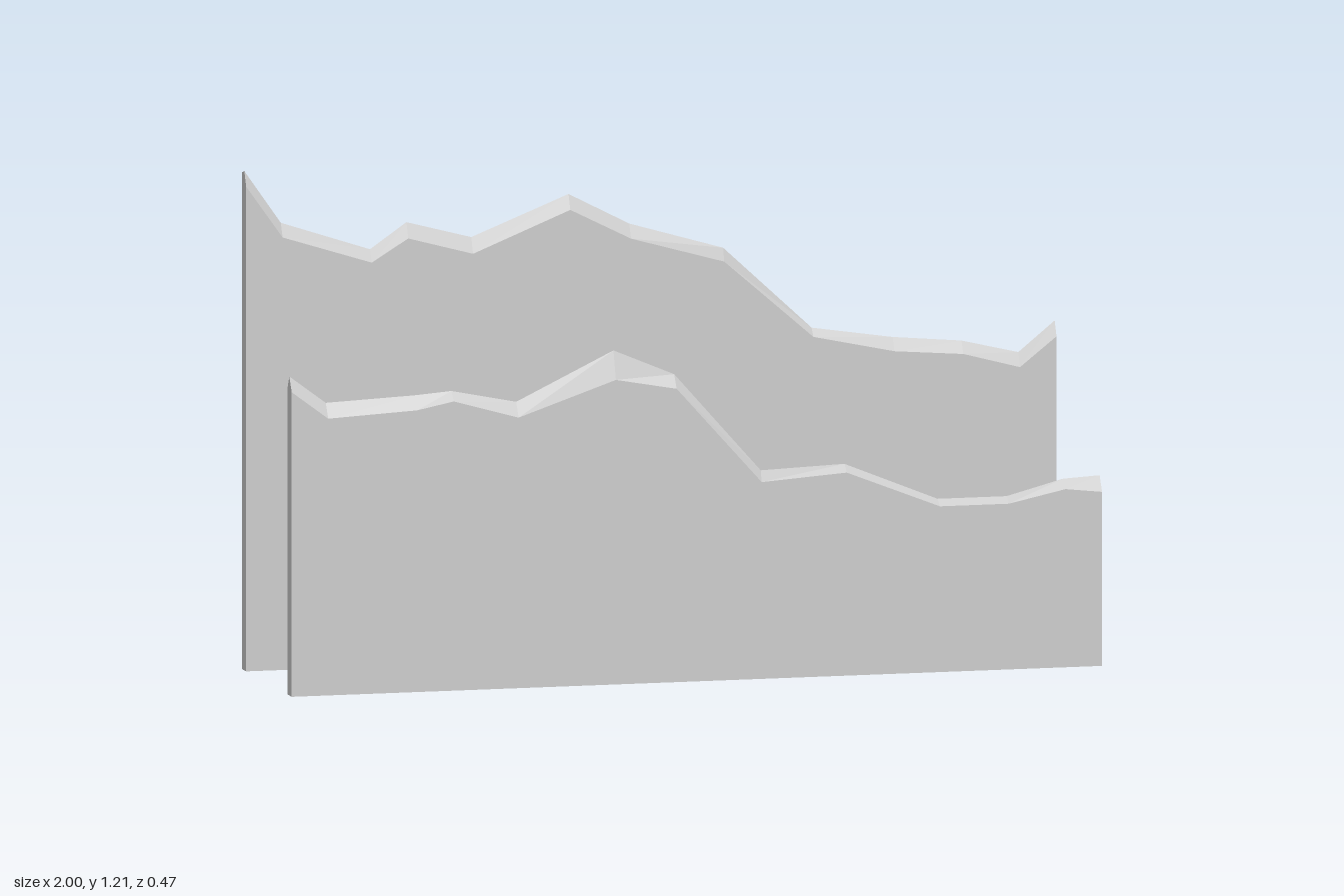
import * as THREE from 'three';

const material = new THREE.MeshStandardMaterial({ color: 0xcccccc, flatShading: true });

// Thin slab lofted from five-sided sections: two foot corners, two shoulders and a ridge.
// Each station is [x, ridge height, front shoulder drop, back shoulder drop, ridge z, back shoulder z].
function jaggedWall(name, stations, zFront, zBack, ridge) {
  const rings = stations.map(([x, y, dropFront, dropBack, zRidge = ridge, zShoulder = zBack]) => [
    [x, 0, zFront],
    [x, y - dropFront, zFront],
    [x, y, zRidge],
    [x, y - dropBack, zShoulder],
    [x, 0, zBack],
  ]);
  const positions = [];
  const triangle = (a, b, c) => positions.push(...a, ...b, ...c);

  // Skin between neighbouring sections
  for (let i = 0; i < rings.length - 1; i++) {
    const p = rings[i], q = rings[i + 1];
    for (let j = 0; j < 5; j++) {
      const k = (j + 1) % 5;
      triangle(p[j], q[j], q[k]);
      triangle(p[j], q[k], p[k]);
    }
  }
  // End caps
  const first = rings[0], last = rings[rings.length - 1];
  for (let j = 1; j < 4; j++) {
    triangle(first[0], first[j], first[j + 1]);
    triangle(last[0], last[j + 1], last[j]);
  }

  const geometry = new THREE.BufferGeometry();
  geometry.setAttribute('position', new THREE.Float32BufferAttribute(positions, 3));
  geometry.computeVertexNormals();
  const mesh = new THREE.Mesh(geometry, material);
  mesh.name = name;
  return mesh;
}

export function createModel() {
  const group = new THREE.Group();
  group.name = 'brokenWalls';

  // Lower wall at the front
  const frontStations = [
    [-1, 0.77, 0.035, 0.03],
    [-0.91, 0.703, 0.035, 0.03],
    [-0.69, 0.713, 0.033, 0.03],
    [-0.6, 0.72, 0.022, 0.03],
    [-0.44, 0.688, 0.035, 0.03],
    [-0.2, 0.803, 0.068, 0.033],
    [-0.05, 0.74, 0.032, 0.03],
    [0.16, 0.502, 0.027, 0.02, 0.225, 0.2],
    [0.37, 0.508, 0.018, 0.015],
    [0.6, 0.415, 0.015, 0.015],
    [0.77, 0.415, 0.015, 0.015],
    [0.91, 0.452, 0.022, 0.025],
    [1, 0.457, 0.037, 0.037],
  ];
  group.add(jaggedWall('frontWall', frontStations, 0.235, 0.195, 0.212));

  // Taller wall at the back
  const backStations = [
    [-1, 1.205, 0.035, 0.006],
    [-0.91, 1.077, 0.033, 0.015],
    [-0.69, 1.005, 0.03, 0.015],
    [-0.6, 1.067, 0.037, 0.015],
    [-0.44, 1.025, 0.038, 0.015],
    [-0.2, 1.12, 0.036, 0.015],
    [-0.05, 1.043, 0.034, 0.018],
    [0.18, 0.977, 0.032, 0.018, -0.206, -0.23],
    [0.4, 0.775, 0.02, 0.015],
    [0.6, 0.745, 0.032, 0.015],
    [0.77, 0.73, 0.03, 0.015],
    [0.91, 0.697, 0.034, 0.015],
    [1, 0.77, 0.036, 0.015],
  ];
  group.add(jaggedWall('backWall', backStations, -0.195, -0.235, -0.212));

  return group;
}
